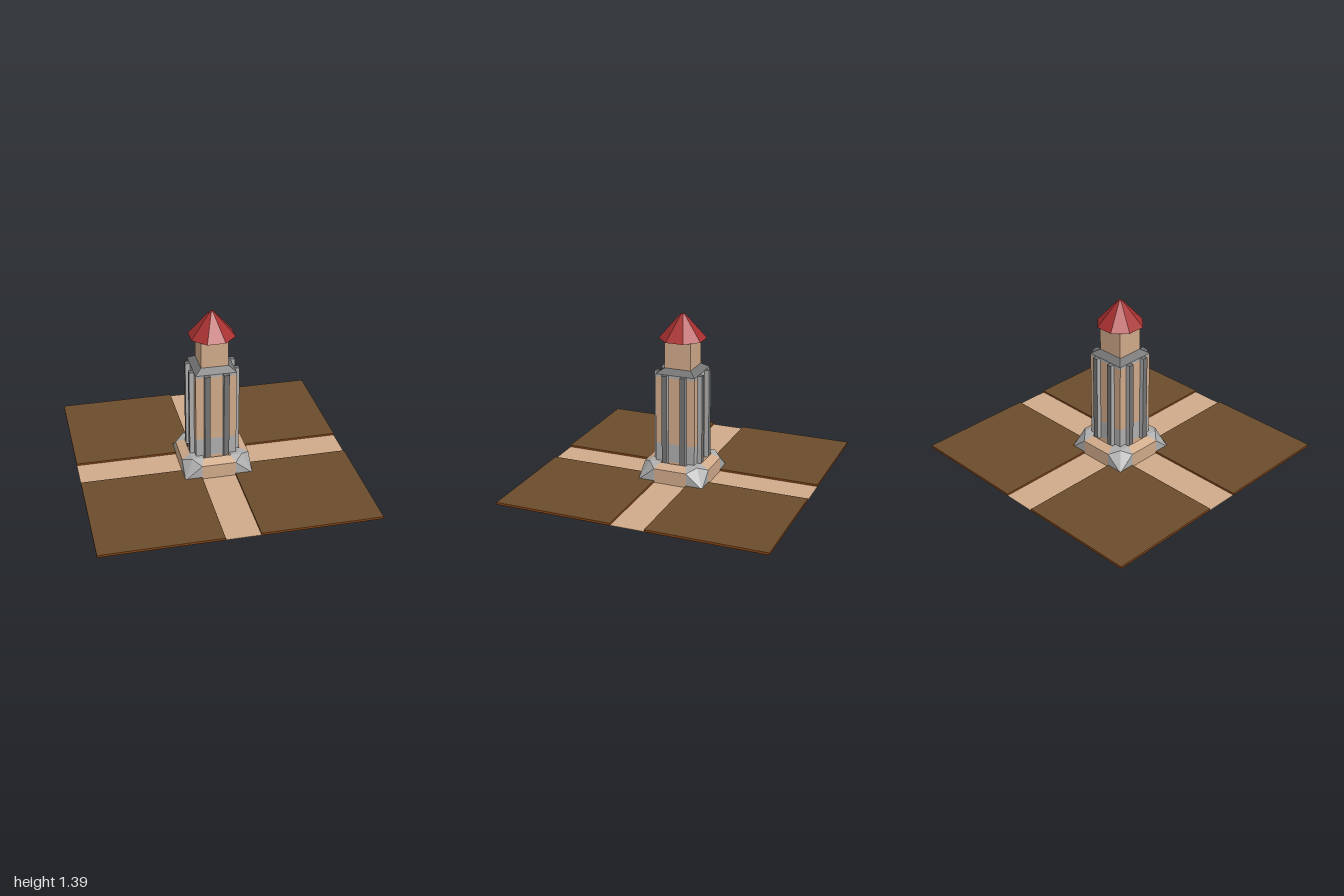
import * as THREE from 'three';

const mat = (name, color, side = THREE.FrontSide) => {
  const m = new THREE.MeshStandardMaterial({ color, flatShading: true, side });
  m.name = name;
  return m;
};

// flat polygons, each a loop of corner points, fanned into triangles
function polygons(loops) {
  const pos = [];
  for (const p of loops)
    for (let i = 1; i < p.length - 1; i++) pos.push(...p[0], ...p[i], ...p[i + 1]);
  const g = new THREE.BufferGeometry();
  g.setAttribute('position', new THREE.Float32BufferAttribute(pos, 3));
  g.computeVertexNormals();
  return g;
}

export function createModel() {
  const model = new THREE.Group();
  model.name = 'tower';
  const tan = mat('sandstone', 0xd0aa8a, THREE.DoubleSide);
  const light = mat('light stone', 0xadadad, THREE.DoubleSide);
  const dark = mat('dark stone', 0x747474);
  const soil = mat('soil', 0x6b4c2d);
  const edge = mat('soil edge', 0x8b4513);
  const red = mat('roof red', 0xa83030);

  const add = (name, geometry, material, parent = model) => {
    const m = new THREE.Mesh(geometry, material);
    m.name = name;
    parent.add(m);
    return m;
  };
  const block = (name, half, y0, y1, material) =>
    add(name, new THREE.BoxGeometry(half * 2, y1 - y0, half * 2).translate(0, (y0 + y1) / 2, 0), material);
  // square or octagonal frustum with sides facing the axes, sizes to the flats
  const frustum = (name, n, top, bottom, y0, y1, material, open = false) => {
    const k = 1 / Math.cos(Math.PI / n);
    const g = new THREE.CylinderGeometry(top * k, bottom * k, y1 - y0, n, 1, open);
    add(name, g.rotateY(Math.PI / n).translate(0, (y0 + y1) / 2, 0), material);
  };

  // shaft in stacked bands
  block('foundation', 0.15, 0, 0.3, tan);
  block('lowerBand', 0.15, 0.3, 0.44, light);
  block('shaft', 0.15, 0.44, 0.945, tan);
  block('upperBand', 0.15, 0.945, 0.965, light);
  frustum('cornice', 4, 0.1, 0.15, 0.965, 1.0, dark);
  block('lookout', 0.1, 1.0, 1.2, tan);

  // roof
  frustum('eaves', 8, 0.158, 0.102, 1.19, 1.207, dark);
  frustum('roof', 8, 0.015, 0.16, 1.207, 1.387, red);

  // flared base, one side panel and one corner
  const P = [0.125, 0.16, 0.25], K = [0.25, 0.165, 0.25], C = [0.125, 0.27, 0.25];
  const E = [0.1, 0.3, 0.185], T = [0.185, 0.3, 0.185];
  const mirrorX = ([x, y, z]) => [-x, y, z];
  const swap = ([x, y, z]) => [z, y, x];
  const panel = polygons([
    [mirrorX(P), P, C, mirrorX(C)],
    [mirrorX(C), C, E, mirrorX(E)],
  ]);
  const corner = polygons([
    [P, K, C], [C, K, T], [C, T, E],
    [K, swap(P), swap(C)], [K, swap(C), T], [swap(C), swap(E), T],
    [E, T, swap(E), [0.1, 0.3, 0.1]],
  ]);

  // ground plate with a notch for the base
  const plate = new THREE.Shape(
    [[0.25, 0.125], [1, 0.125], [1, 1], [0.125, 1], [0.125, 0.25], [0.25, 0.25]]
      .map(([x, y]) => new THREE.Vector2(x, y)));
  const plateGeo = new THREE.ExtrudeGeometry(plate, { depth: 0.016, bevelEnabled: false })
    .rotateX(-Math.PI / 2).translate(0, 0.16, 0);
  const pathGeo = new THREE.BoxGeometry(0.25, 0.004, 0.75).translate(0, 0.16, 0.625);
  const pilasterGeo = new THREE.BoxGeometry(0.04, 0.675, 0.04);
  const pilasterMats = [light, light, dark, light, dark, light];

  // the four sides
  for (let i = 0; i < 4; i++) {
    const side = new THREE.Group();
    side.name = 'side' + (i + 1);
    side.rotation.y = i * Math.PI / 2;
    model.add(side);
    add('basePanel', panel, tan, side);
    add('baseCorner', corner, light, side);
    add('groundPlate', plateGeo, [soil, edge], side);
    add('path', pathGeo, tan, side);
    for (const s of [-1, 1])
      add('pilaster', pilasterGeo, pilasterMats, side).position.set(s * 0.07, 0.6275, 0.164);
  }
  return model;
}
